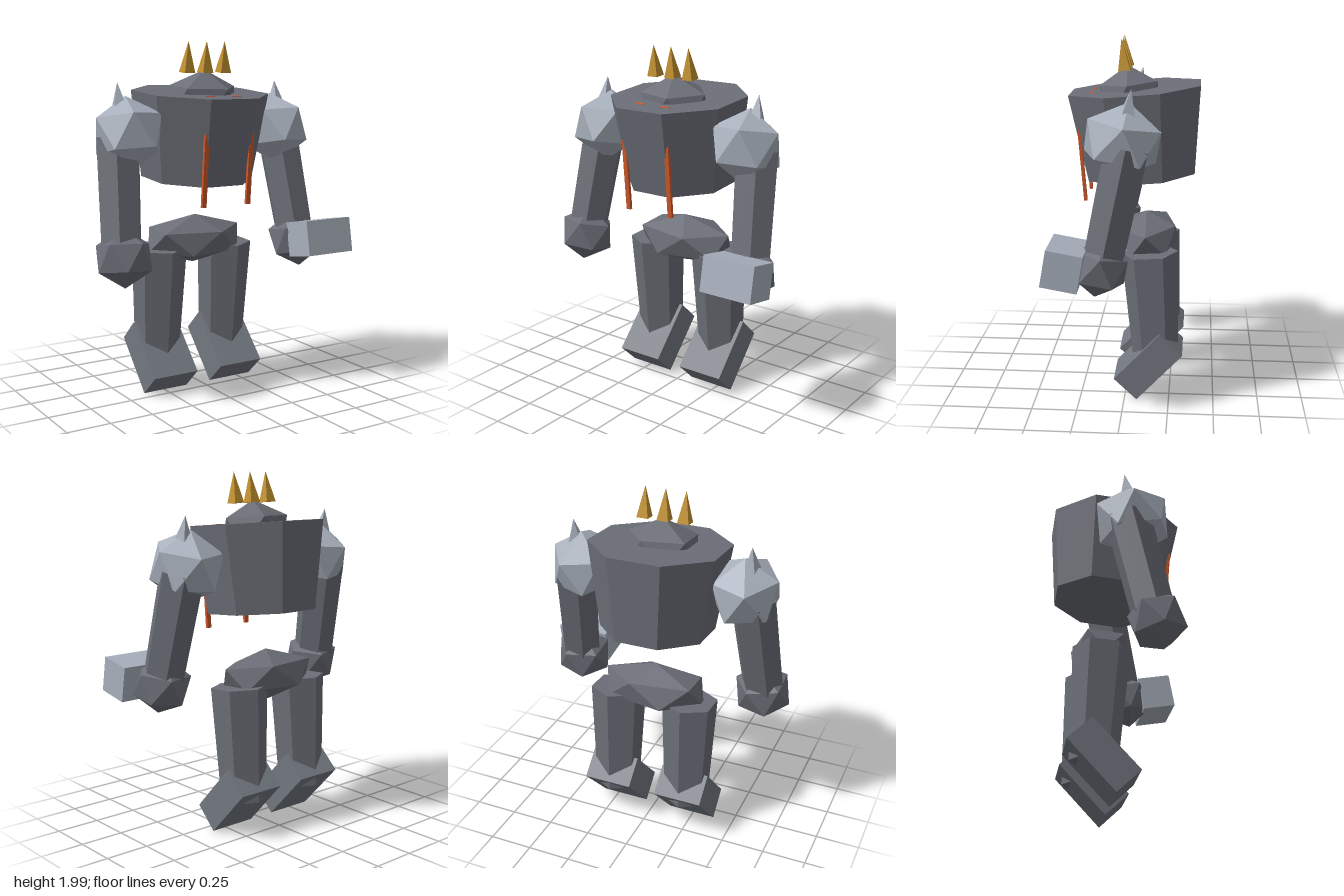
import * as THREE from 'three';

const paint = (name, color) => {
  const m = new THREE.MeshStandardMaterial({ color });
  m.name = name;
  return m;
};

// Faceted geometry: split every face so its normals are flat
function facet(geo) {
  const g = geo.index ? geo.toNonIndexed() : geo;
  g.computeVertexNormals();
  return g;
}

// Twenty-sided stone standing on one corner
const stone = (sx, sy, sz) => facet(new THREE.IcosahedronGeometry(1, 0)
  .rotateZ(Math.atan(2 / (1 + Math.sqrt(5)))).rotateY(Math.PI).scale(sx, sy, sz));

const box = (x, y, z) => facet(new THREE.BoxGeometry(x, y, z));
const spike = (r, h) => facet(new THREE.ConeGeometry(r, h, 4).rotateY(Math.PI / 4));
const prism = (top, bottom, h, sides, turn = 0) =>
  facet(new THREE.CylinderGeometry(top, bottom, h, sides).rotateY(turn));

export function createModel() {
  const rock = paint('dark stone', 0x6b6e77);
  const footRock = paint('foot stone', 0x72777f);
  const pale = paint('pale stone', 0xa8b0bc);
  const gold = paint('gold', 0xc2922f);
  const ember = paint('ember orange', 0xcf592b);

  const model = new THREE.Group();
  model.name = 'stoneGolem';
  const cx = -0.02; // body midline
  const lean = 0.083; // forward lean of the body

  const add = (name, geo, mat, pos, rot = [0, 0, 0]) => {
    const mesh = new THREE.Mesh(geo, mat);
    mesh.name = name;
    mesh.position.set(...pos);
    mesh.rotation.set(...rot);
    model.add(mesh);
    return mesh;
  };

  // Torso, pelvis and head
  add('torso', prism(0.392, 0.32, 0.487, 8, Math.PI / 8), rock, [cx, 1.478, -0.06], [lean, 0, 0]);
  add('pelvis', stone(0.335, 0.143, 0.19), rock, [cx, 0.873, -0.117], [lean, 0, 0]);
  add('head', stone(0.225, 0.17, 0.187), rock, [cx, 1.675, -0.01], [lean, 0, 0]);

  // Crown of three horns
  for (const i of [-1, 0, 1]) {
    add('crownHorn', spike(0.047, 0.172), gold, [cx + i * 0.117, 1.914, 0.022], [0.1, 0, 0]);
  }

  for (const s of [-1, 1]) {
    const side = s > 0 ? 'left' : 'right';

    // Glowing eye and chest crack
    add(side + 'Eye', box(0.058, 0.03, 0.02), ember, [cx + s * 0.084, 1.688, 0.196], [lean, 0, 0]);
    add(side + 'ChestCrack', box(0.027, 0.4, 0.017), ember, [cx + s * 0.143, 1.305, 0.246], [lean, 0, 0]);

    // Shoulder with its spike, tilted along with the arm
    const shoulder = add(side + 'Shoulder', stone(0.205, 0.205, 0.225), pale,
      [cx + s * 0.475, 1.505, 0], [-0.18, s > 0 ? 0 : Math.PI, 0]);
    if (s < 0) shoulder.rotation.set(0.18, Math.PI, 0, 'YXZ');
    add(side + 'ShoulderSpike', spike(0.072, 0.2), pale, [cx + s * 0.515, 1.68, -0.035], [-0.15, s * 0.25, 0]);

    // Arm between shoulder and hand
    const a = new THREE.Vector3(cx + s * 0.525, 1.48, -0.03);
    const b = new THREE.Vector3(cx + s * 0.572, 0.9, 0.09);
    const arm = add(side + 'Arm', prism(0.128, 0.118, a.distanceTo(b), 6, Math.PI / 6), rock,
      a.clone().add(b).multiplyScalar(0.5).toArray());
    arm.quaternion.setFromUnitVectors(new THREE.Vector3(0, 1, 0), a.clone().sub(b).normalize());
    add(side + 'Hand', stone(0.17, 0.163, 0.163), rock, [cx + s * 0.568, 0.852, 0.11], [-0.18, 0, s * 0.06]);

    // Leg and tipped foot
    add(side + 'Leg', prism(0.158, 0.128, 0.64, 6), rock, [cx + s * 0.22, 0.515, -0.152], [0.06, 0, 0]);
    add(side + 'Foot', box(0.28, 0.176, 0.37), footRock, [cx + s * 0.22, 0.2, -0.1325], [0.816, 0, 0]);
  }

  // Block carried on the left fist
  add('fistBlock', box(0.31, 0.198, 0.193), pale, [0.59, 0.883, 0.288], [-0.176, 0, 0]);

  return model;
}
